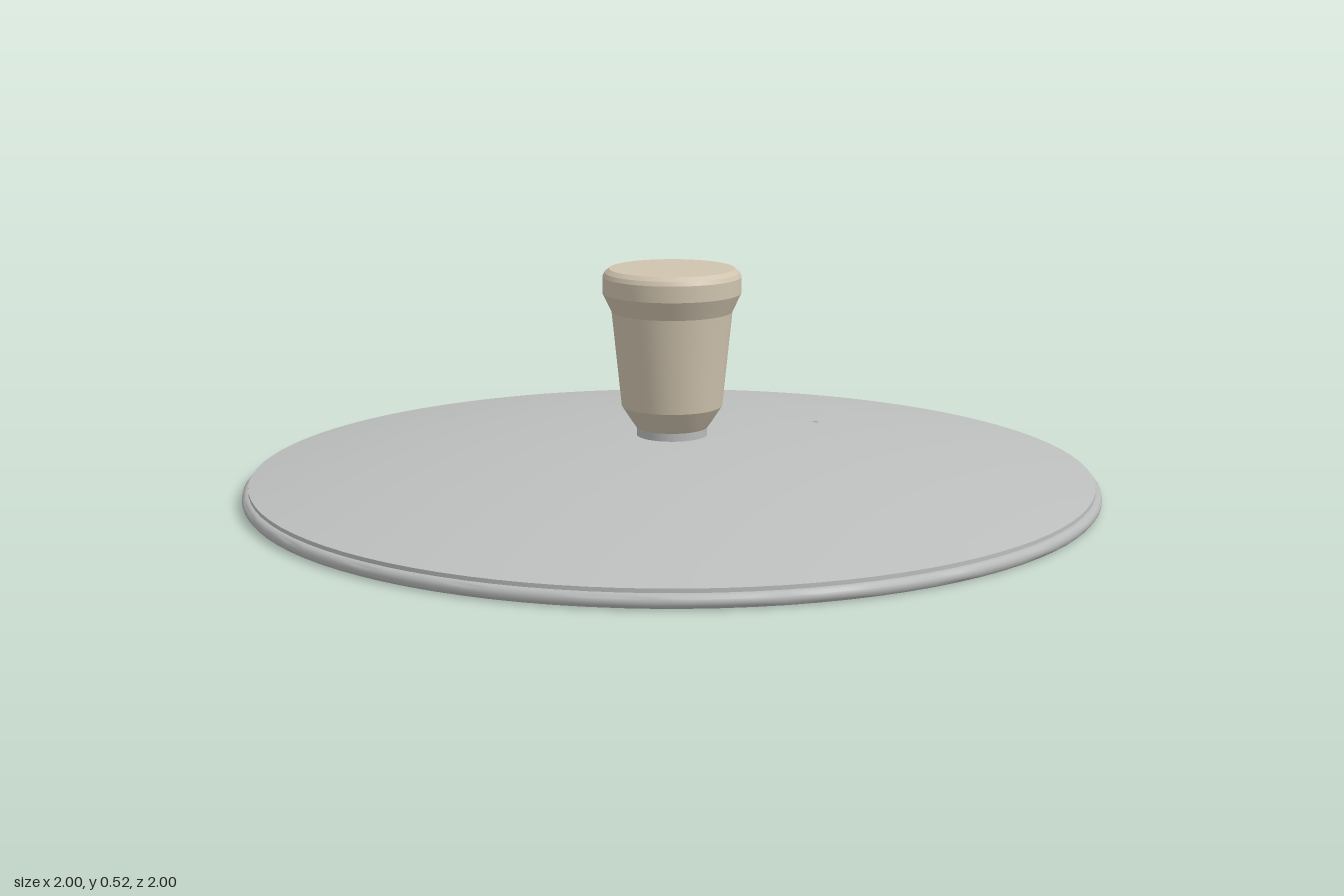
import * as THREE from 'three';
import { toCreasedNormals } from 'three/addons/utils/BufferGeometryUtils.js';

export function createModel() {
  const group = new THREE.Group();
  const lidGrey = new THREE.MeshStandardMaterial({ color: 0xbcbfbd });
  const rimSteel = new THREE.MeshStandardMaterial({ color: 0xb8bab9 });
  const knobBeige = new THREE.MeshStandardMaterial({ color: 0xcfc3ae });

  // Turned part from [radius, height] pairs, listed so faces point outward
  const turn = (name, profile, material, segments, crease = 0.3) => {
    const points = profile.map(([r, y]) => new THREE.Vector2(r, y));
    const geometry = toCreasedNormals(new THREE.LatheGeometry(points, segments), crease);
    const mesh = new THREE.Mesh(geometry, material);
    mesh.name = name;
    group.add(mesh);
    return mesh;
  };

  // Shallow dome: thin shell with a hollow underside
  const steps = 16, edge = 0.985;
  const domeY = (r) => 0.13 - 0.09 * (r / edge) ** 2;
  const outer = [], inner = [];
  for (let i = 0; i <= steps; i++) {
    const r = (edge * i) / steps;
    inner.push([r, domeY(r) - 0.02]);
    outer.unshift([r, domeY(r)]);
  }
  turn('lidDome', [...inner, ...outer], lidGrey, 96);

  // Rounded band around the edge
  turn('rimBand', [
    [0.978, 0.03], [0.978, 0.004], [0.984, 0], [0.994, 0.002], [0.999, 0.008],
    [1, 0.015], [0.999, 0.022], [0.994, 0.028], [0.986, 0.031], [0.978, 0.03],
  ], rimSteel, 96, 0.8);

  // Collar under the knob
  turn('knobCollar', [[0, 0.115], [0.083, 0.115], [0.083, 0.152], [0, 0.152]], rimSteel, 48);

  // Tapered knob with a chamfered cap
  turn('knob', [
    [0, 0.148], [0.083, 0.148], [0.092, 0.16], [0.118, 0.2], [0.141, 0.423],
    [0.162, 0.467], [0.162, 0.505], [0.157, 0.515], [0.146, 0.524], [0, 0.524],
  ], knobBeige, 48);

  // Tiny steam vent
  const vent = turn('steamVent', [[0, 0], [0.006, 0], [0.006, 0.004], [0, 0.004]], rimSteel, 12);
  vent.position.set(0.37, domeY(Math.hypot(0.37, 0.17)) - 0.002, -0.17);

  return group;
}
